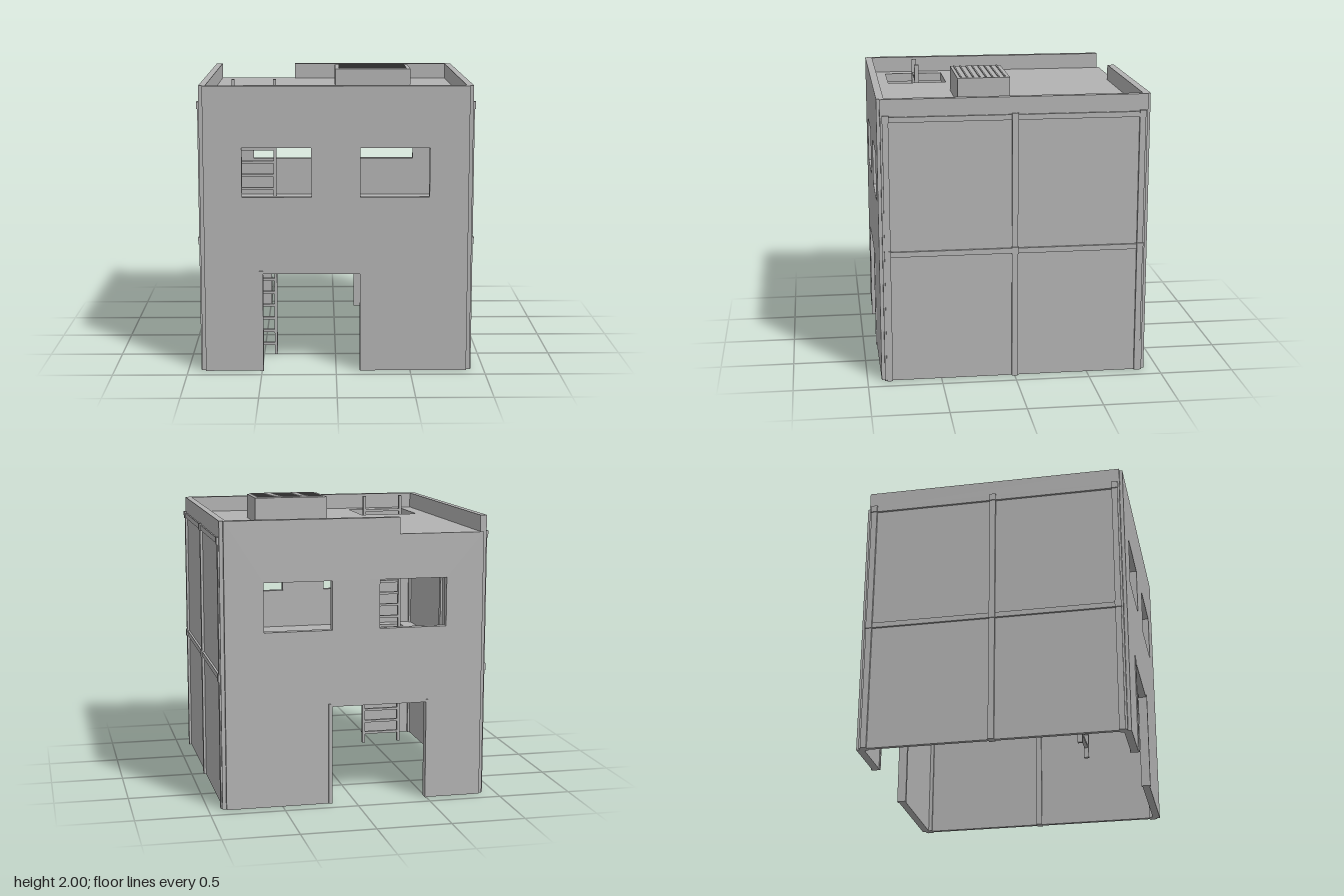
import * as THREE from 'three';

export function createModel() {
  const model = new THREE.Group();
  const grey = new THREE.MeshStandardMaterial({ color: 0xb2b2b2 });
  grey.name = 'concreteGrey';

  const add = (parent, name, geometry) => {
    const mesh = new THREE.Mesh(geometry, grey);
    mesh.name = name;
    parent.add(mesh);
    return mesh;
  };
  // Box given by its limits on each axis
  const box = (parent, name, x0, x1, y0, y1, z0, z1) => {
    const mesh = add(parent, name, new THREE.BoxGeometry(x1 - x0, y1 - y0, z1 - z0));
    mesh.position.set((x0 + x1) / 2, (y0 + y1) / 2, (z0 + z1) / 2);
    return mesh;
  };
  const group = (name) => {
    const g = new THREE.Group();
    g.name = name;
    model.add(g);
    return g;
  };
  const rectHole = (x0, x1, y0, y1) => new THREE.Path([
    new THREE.Vector2(x0, y0), new THREE.Vector2(x0, y1),
    new THREE.Vector2(x1, y1), new THREE.Vector2(x1, y0)]);
  const polygon = (points) => new THREE.Shape(points.map(([x, y]) => new THREE.Vector2(x, y)));
  const extrude = (shape, depth) => new THREE.ExtrudeGeometry(shape, { depth, bevelEnabled: false });

  const DECK = 1.82, TOP = 1.93;

  // Front and back walls: doorway notch and two windows
  const endWall = (name, outline, z) => {
    const shape = polygon([[-0.88, 0], [-0.49, 0], [-0.49, 0.67], [0.165, 0.67],
      [0.165, 0], [0.88, 0], ...outline]);
    shape.holes.push(rectHole(-0.625, -0.165, 1.19, 1.52), rectHole(0.16, 0.62, 1.19, 1.52));
    add(model, name, extrude(shape, 0.05)).position.z = z;
  };
  endWall('frontWall', [[0.88, TOP], [-0.88, TOP]], 0.855);
  endWall('backWall', [[0.88, TOP], [-0.3, TOP], [-0.3, DECK], [-0.88, DECK]], -0.905);

  // Door jambs, slightly proud of both walls
  for (const s of [-1, 1]) {
    const jambs = group(s > 0 ? 'frontDoorJambs' : 'backDoorJambs');
    const z0 = s > 0 ? 0.85 : -0.912, z1 = s > 0 ? 0.912 : -0.85;
    box(jambs, 'jamb', -0.515, -0.49, 0, 0.69, z0, z1);
    box(jambs, 'jamb', 0.16, 0.185, 0, 0.69, z0, z1);
  }

  // Side walls: thin panel, frame ribs, joint plates and parapet
  for (const s of [-1, 1]) {
    const side = group(s > 0 ? 'leftWall' : 'rightWall');
    const sideBox = (name, x0, x1, ...rest) =>
      s > 0 ? box(side, name, x0, x1, ...rest) : box(side, name, -x1, -x0, ...rest);
    sideBox('panel', 0.87, 0.897, 0, DECK, -0.88, 0.88);
    sideBox('parapet', 0.86, 0.905, DECK - 0.005, TOP, -0.885, 0.885);
    for (const z of [-0.85, 0, 0.85]) {
      sideBox('verticalRib', 0.855, 0.914, 0, 1.815, z - 0.02, z + 0.02);
      for (const y of [0.887, 1.797])
        sideBox('jointPlate', 0.9, 0.921, y - 0.022, y + 0.026, z - 0.022, z + 0.022);
    }
    for (const z of [-0.875, 0.875])
      sideBox('cornerPost', 0.855, 0.905, 0, DECK, z - 0.008, z + 0.008);
    for (const y of [0.887, 1.795])
      sideBox('horizontalRib', 0.855, 0.912, y - 0.018, y + 0.018, -0.87, 0.87);
  }

  // Floor and roof slabs with the ladder hatch
  const slab = (name, y0, y1) => {
    const shape = polygon([[-0.87, -0.87], [0.87, -0.87], [0.87, 0.87], [-0.87, 0.87]]);
    shape.holes.push(rectHole(-0.765, -0.345, -0.76, -0.34));
    const mesh = add(model, name, extrude(shape, y1 - y0));
    mesh.rotation.x = -Math.PI / 2;
    mesh.position.y = y0;
  };
  slab('middleFloor', 0.84, 0.905);
  slab('roofDeck', 1.76, DECK);

  // Ladder through both hatches
  const ladder = group('ladder');
  for (const x of [-0.695, -0.415])
    box(ladder, 'rail', x - 0.01, x + 0.01, 0.015, 1.94, 0.533, 0.565);
  for (let i = 1; i <= 20; i++) {
    const y = 0.0916 * i;
    box(ladder, 'rung', -0.69, -0.42, y - 0.009, y + 0.009, 0.537, 0.561);
  }

  // Rooftop ventilation unit with raised slats
  const vent = group('roofVent');
  box(vent, 'ventBody', 0, 0.52, DECK, 1.993, -0.018, 0.34);
  for (let i = 0; i < 8; i++) {
    const z = 0.015 + i * 0.0428;
    box(vent, 'slat', 0.025, 0.495, 1.99, 2, z - 0.005, z + 0.005);
  }
  return model;
}
